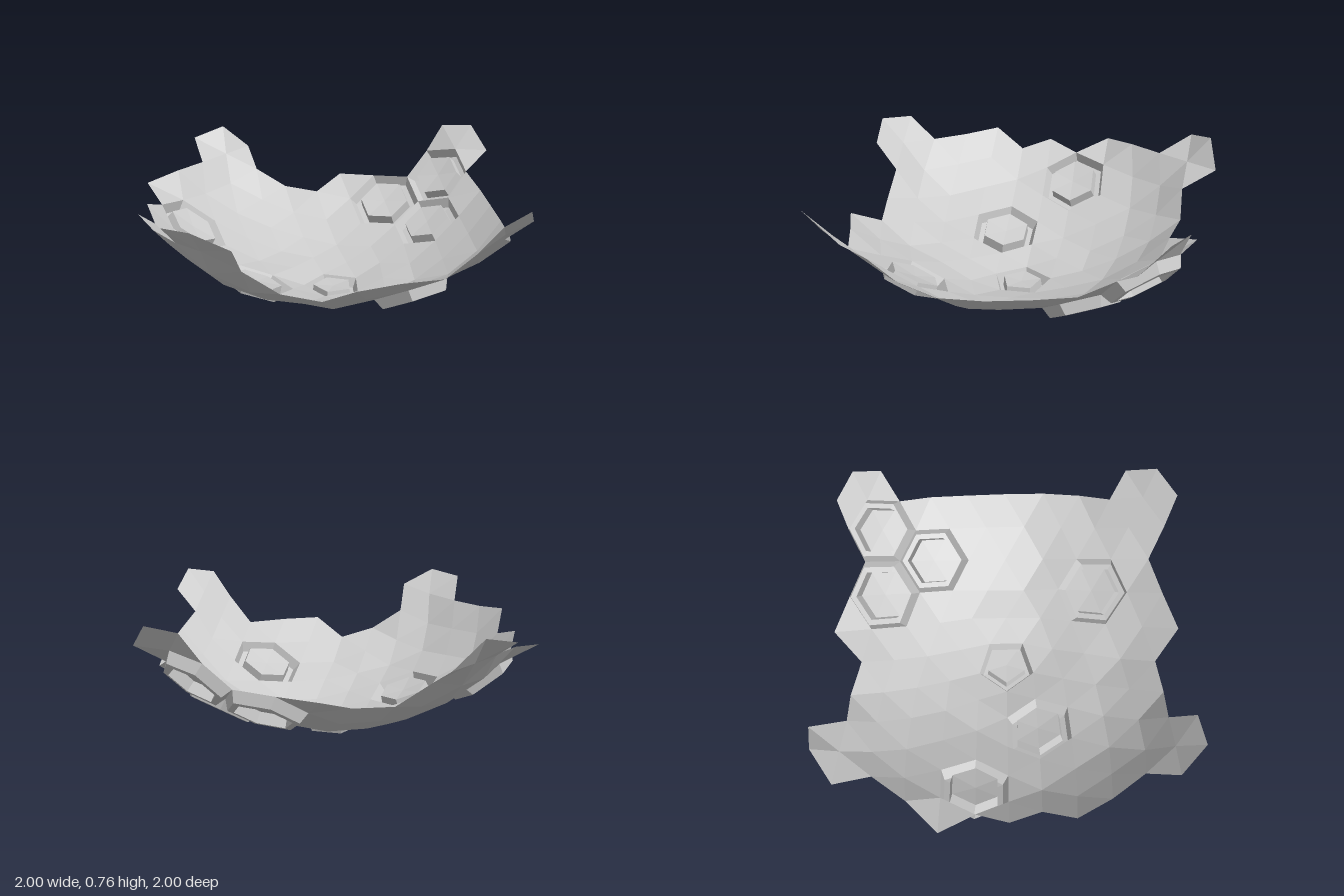
import * as THREE from 'three';

const FREQ = 8;                                          // geodesic subdivision
const MIDDLE = new THREE.Vector3(0.05, 1.413, 0.016);    // centre of the sphere
const LIP = 0.055;                                       // how far the frames stand out

// Ragged rim seen from above, relative to the middle; mirrored in z
const RIM = [
  [0.9, 0], [0.92, 0.21], [0.81, 0.59], [0.93, 0.67], [0.88, 0.82], [0.73, 0.93], [0.49, 0.8],
  [0.28, 0.87], [0.07, 0.94], [-0.08, 0.81], [-0.28, 0.845], [-0.44, 0.84], [-0.49, 0.96],
  [-0.66, 0.97], [-0.82, 0.855], [-0.76, 0.69], [-0.9, 0.51], [-1, 0.35], [-0.94, 0.17], [-1, 0],
];

// Framed cells as [sector, a, b] on the triangle lattice; the first is the pentagon
const FRAMES = [[0, 0, 0], [1, 1, 2], [0, 3, 1], [2, 4, 1], [4, 4, 0], [3, 2, 3], [3, 1, 5]];

// Rim points grouped by their distance from the middle, as "sector a b"
const LEVELS = [
  [1.328, '151 161 143 134 125 115 260 060 215 234 243 341 326'],
  [1.34, '033 251'],
  [1.366, '024 014 150 042 062 070 071 162 153 226 350 342 317 424'],
  [1.405, '252 235 216 470'],
];

// Direction of a lattice point in one of the five icosahedron faces round the bottom
const corner = (k) => {
  const t = THREE.MathUtils.degToRad(36 + 72 * k), s = 2 / Math.sqrt(5);
  return new THREE.Vector3(s * Math.cos(t), -1 / Math.sqrt(5), s * Math.sin(t));
};
const direction = (k, a, b) => new THREE.Vector3(0, a + b - FREQ, 0)
  .addScaledVector(corner(k), a).addScaledVector(corner(k + 1), b).normalize();

const frameDirections = FRAMES.map((f) => direction(...f));

// Uneven radius: fixed at the rim, even round the frames, slightly bumpy elsewhere
function radius(k, a, b, dir) {
  const key = a === 0 && b > 0 ? `${(k + 1) % 5}${b}0` : `${k}${a}${b}`;
  const level = LEVELS.find(([, keys]) => keys.split(' ').includes(key));
  if (level) return level[0];
  const near = frameDirections.findIndex((d) => d.angleTo(dir) < 0.19);
  if (near >= 0) return near === 0 ? 1.363 : 1.335;
  const n = Math.sin(Number(key) * 12.9898) * 43758.5453;
  return 1.352 + 0.034 * (n - Math.floor(n) - 0.5);
}

function latticePoint(k, a, b) {
  const dir = direction(k, a, b);
  return MIDDLE.clone().addScaledVector(dir, radius(k, a, b, dir));
}

function insideRim(tri) {
  const p = new THREE.Vector3();
  tri.forEach((v) => p.add(v).sub(MIDDLE));
  p.setLength(1.325);
  const x = p.x, z = Math.abs(p.z);
  let inside = false;
  RIM.forEach(([x1, z1], i) => {
    const [x2, z2] = RIM[(i + 1) % RIM.length];
    if ((z1 > z) !== (z2 > z) && x < x1 + ((z - z1) / (z2 - z1)) * (x2 - x1)) inside = !inside;
  });
  return inside;
}

function facetMesh(name, points, material) {
  const geometry = new THREE.BufferGeometry().setFromPoints(points);
  geometry.computeVertexNormals();
  const mesh = new THREE.Mesh(geometry, material);
  mesh.name = name;
  return mesh;
}

export function createModel() {
  const group = new THREE.Group();
  group.name = 'facetedBowl';
  const material = new THREE.MeshStandardMaterial({
    color: 0xcccccc, flatShading: true, side: THREE.DoubleSide,
  });

  // Lattice triangles of the five sectors, leaving off the outermost corners
  const triangles = [];
  for (let k = 0; k < 5; k++) {
    for (let a = 0; a < FREQ - 1; a++) {
      for (let b = 0; b < Math.min(FREQ - a, FREQ - 1); b++) {
        const q = latticePoint(k, a + 1, b), r = latticePoint(k, a, b + 1);
        triangles.push([latticePoint(k, a, b), q, r]);
        if (a + b < FREQ - 1) triangles.push([q, latticePoint(k, a + 1, b + 1), r]);
      }
    }
  }

  // Sort triangles into framed cells and plain shell
  const centers = FRAMES.map((f) => latticePoint(...f));
  const cells = centers.map(() => []);
  const shell = [];
  for (const tri of triangles) {
    let framed = false;
    centers.forEach((c, i) => {
      const j = tri.findIndex((p) => p.distanceTo(c) < 1e-4);
      if (j < 0) return;
      cells[i].push([tri[(j + 1) % 3], tri[(j + 2) % 3]]);
      framed = true;
    });
    if (!framed && insideRim(tri)) shell.push(...tri);
  }
  group.add(facetMesh('bowlShell', shell, material));

  // Frames: tapered outer wall, flat lip, inner wall and recessed floor
  const loops = [[1, 0], [0.87, LIP], [0.71, LIP], [0.67, -0.005]];
  centers.forEach((c, i) => {
    const at = (v, [s, h]) => c.clone().lerp(v, s).addScaledVector(frameDirections[i], h);
    const points = [];
    for (const [v, w] of cells[i]) {
      for (let n = 0; n < loops.length - 1; n++) {
        const a = at(v, loops[n]), b = at(w, loops[n]);
        const d = at(v, loops[n + 1]), e = at(w, loops[n + 1]);
        points.push(a, b, e, a, e, d);
      }
      points.push(at(v, loops[3]), at(w, loops[3]), at(c, loops[3]));
    }
    group.add(facetMesh(i === 0 ? 'pentagonFoot' : 'hexagonFrame' + i, points, material));
  });
  return group;
}
